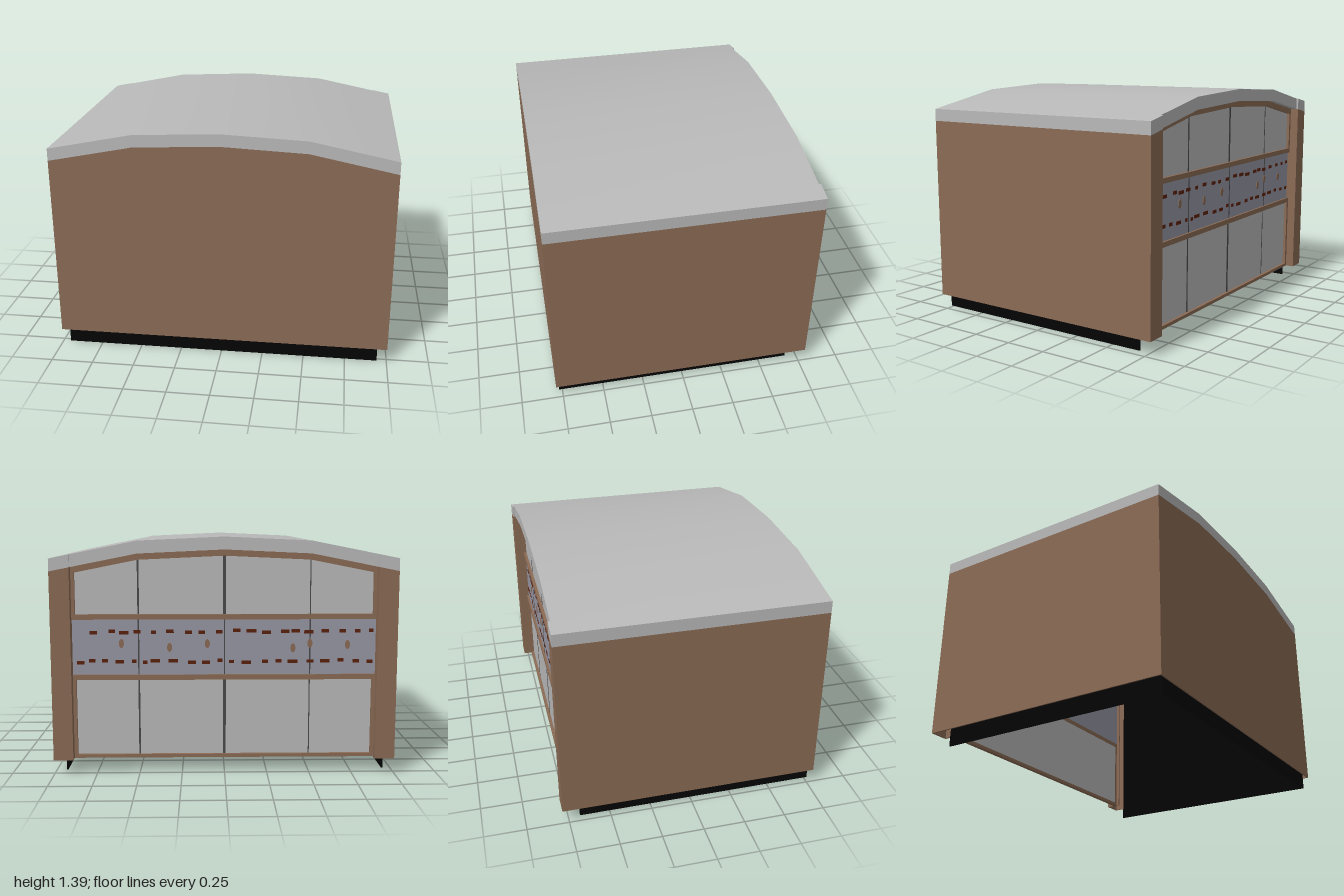
import * as THREE from 'three';
import { toCreasedNormals } from 'three/addons/utils/BufferGeometryUtils.js';

const mat = (name, color) => Object.assign(new THREE.MeshStandardMaterial({ color }), { name });

// Height of the shallow faceted arch at the wall top
const ARCH = [[-1, 1.192], [-0.5, 1.292], [0, 1.315], [0.5, 1.292], [1, 1.192]];
function archY(x) {
  for (let i = 0; i < 4; i++) {
    const [x0, y0] = ARCH[i], [x1, y1] = ARCH[i + 1];
    if (x <= x1) return y0 + (y1 - y0) * (x - x0) / (x1 - x0);
  }
  return ARCH[4][1];
}

// Points along the arch from x0 to x1, shifted by dy
function archLine(x0, x1, dy) {
  const xs = [x0, ...ARCH.map(p => p[0]).filter(x => x > x0 && x < x1), x1];
  return xs.map(x => new THREE.Vector2(x, archY(x) + dy));
}

// Outline with a flat bottom and arched top
const wallPoints = (x0, x1, bottom, dy = 0) => [
  new THREE.Vector2(x0, bottom), new THREE.Vector2(x1, bottom), ...archLine(x0, x1, dy).reverse()];

const rect = (x0, x1, y0, y1) => [
  new THREE.Vector2(x0, y0), new THREE.Vector2(x1, y0), new THREE.Vector2(x1, y1), new THREE.Vector2(x0, y1)];

export function createModel() {
  const group = new THREE.Group();
  const brown = mat('brown wall', 0x8b6b55);
  const grey = mat('light grey', 0xb9b9b9);
  const black = mat('black base', 0x040404);
  const blueGrey = mat('blue grey panel', 0x9797a5);
  const rust = mat('rust marks', 0x5a200c);
  const dark = mat('dark joint', 0x4a4a4a);

  const add = (name, geometry, material) => {
    const mesh = new THREE.Mesh(geometry, material);
    mesh.name = name;
    group.add(mesh);
    return mesh;
  };
  const extrude = (name, points, z0, z1, material, holes = []) => {
    const shape = new THREE.Shape(points);
    shape.holes = holes.map(h => new THREE.Path(h));
    const geometry = new THREE.ExtrudeGeometry(shape, { depth: z1 - z0, bevelEnabled: false });
    geometry.translate(0, 0, z0);
    return add(name, geometry, material);
  };

  const BOTTOM = 0.088, FRONT = 0.788, BACK = -0.788, CORE = -0.712, FRAME = -0.735, PILLAR = 0.885, T = 0.008;

  // Black inner box, open below and at the back, whose foot shows as the plinth
  const L = -0.955, R = 0.942, H = 1.1;
  extrude('plinthFront', rect(L, R, 0, H), 0.762, 0.77, black);
  extrude('plinthRight', rect(L, L + T, 0, H), -0.68, 0.762, black);
  extrude('plinthLeft', rect(R - T, R, 0, H), -0.68, 0.762, black);
  extrude('innerCeiling', rect(L + T, R - T, H - T, H), CORE, 0.762, black);

  // Thin outer walls, open below
  extrude('frontWall', wallPoints(-1, 1, BOTTOM), FRONT - T, FRONT, brown);
  for (const [side, s] of [['left', 1], ['right', -1]]) {
    const strip = (a, b) => wallPoints(Math.min(a * s, b * s), Math.max(a * s, b * s), BOTTOM);
    extrude(side + 'Wall', strip(1 - T, 1), BACK + T, FRONT - T, brown);
    extrude(side + 'Pillar', strip(PILLAR, 1), BACK, BACK + T, brown);
    extrude(side + 'PillarReturn', strip(PILLAR, PILLAR + T), BACK + T, -0.69, brown);
  }

  // Arched roof slab, softly shaded across the arch, with extensions over the pillars
  const roofPoints = (x0, x1) => [...archLine(x0, x1, 0), ...archLine(x0, x1, 0.073).reverse()];
  const roof = extrude('roof', roofPoints(-1, 1), -0.775, FRONT, grey);
  roof.geometry = toCreasedNormals(roof.geometry, 0.4);
  extrude('rightRoofEnd', roofPoints(-1, -PILLAR), BACK, -0.775, grey);
  extrude('leftRoofEnd', roofPoints(PILLAR, 1), BACK, -0.775, grey);

  // Back frames: arched opening above the band, rectangular opening below it
  const W = 0.865, BAND0 = 0.585, BAND1 = 0.91;
  const upper = wallPoints(-W, W, 0.94, -0.037);
  const lower = rect(-W, W, 0.108, 0.555);
  extrude('upperFrame', wallPoints(-PILLAR, PILLAR, BAND1), FRAME, CORE, brown, [upper]);
  extrude('lowerFrame', rect(-PILLAR, PILLAR, BOTTOM, BAND0), FRAME, CORE, brown, [lower]);

  // Recessed panes and the middle band
  const PANE = CORE - 0.005, BAND = CORE - 0.01;
  extrude('upperPane', upper, PANE, CORE, grey);
  extrude('lowerPane', lower, PANE, CORE, grey);
  extrude('middleBand', rect(-PILLAR, PILLAR, BAND0, BAND1), BAND, CORE, blueGrey);

  // Vertical joints between the four bays
  for (const [x, half] of [[-0.5, 0.003], [0, 0.008], [0.5, 0.005]]) {
    const a = x - half, b = x + half;
    extrude('upperJoint', wallPoints(a, b, 0.94, -0.037), PANE - 0.002, PANE, dark);
    extrude('lowerJoint', rect(a, b, 0.108, 0.555), PANE - 0.002, PANE, dark);
    extrude('bandJoint', rect(x - 0.004, x + 0.004, BAND0, BAND1), BAND - 0.002, BAND, dark);
  }

  // Broken rows of small marks along the band, with oval spots between them
  let seed = 7;
  const rand = () => (seed = (seed * 16807) % 2147483647) / 2147483647;
  for (const y of [0.838, 0.662]) {
    for (let x = -0.87; x < 0.82; x += 0.06 + rand() * 0.05) {
      const w = 0.025 + rand() * 0.035, dy = (rand() - 0.5) * 0.014;
      extrude('bandMark', rect(x, x + w, y + dy - 0.01, y + dy + 0.01), BAND - 0.003, BAND, rust);
    }
  }
  for (const x of [-0.72, -0.5, -0.4, 0.1, 0.32, 0.6]) {
    const spot = add('bandSpot', new THREE.CylinderGeometry(0.015, 0.015, 0.004, 10), brown);
    spot.rotation.x = Math.PI / 2;
    spot.scale.z = 1.8;
    spot.position.set(x, 0.74 + rand() * 0.03, BAND - 0.002);
  }

  return group;
}
